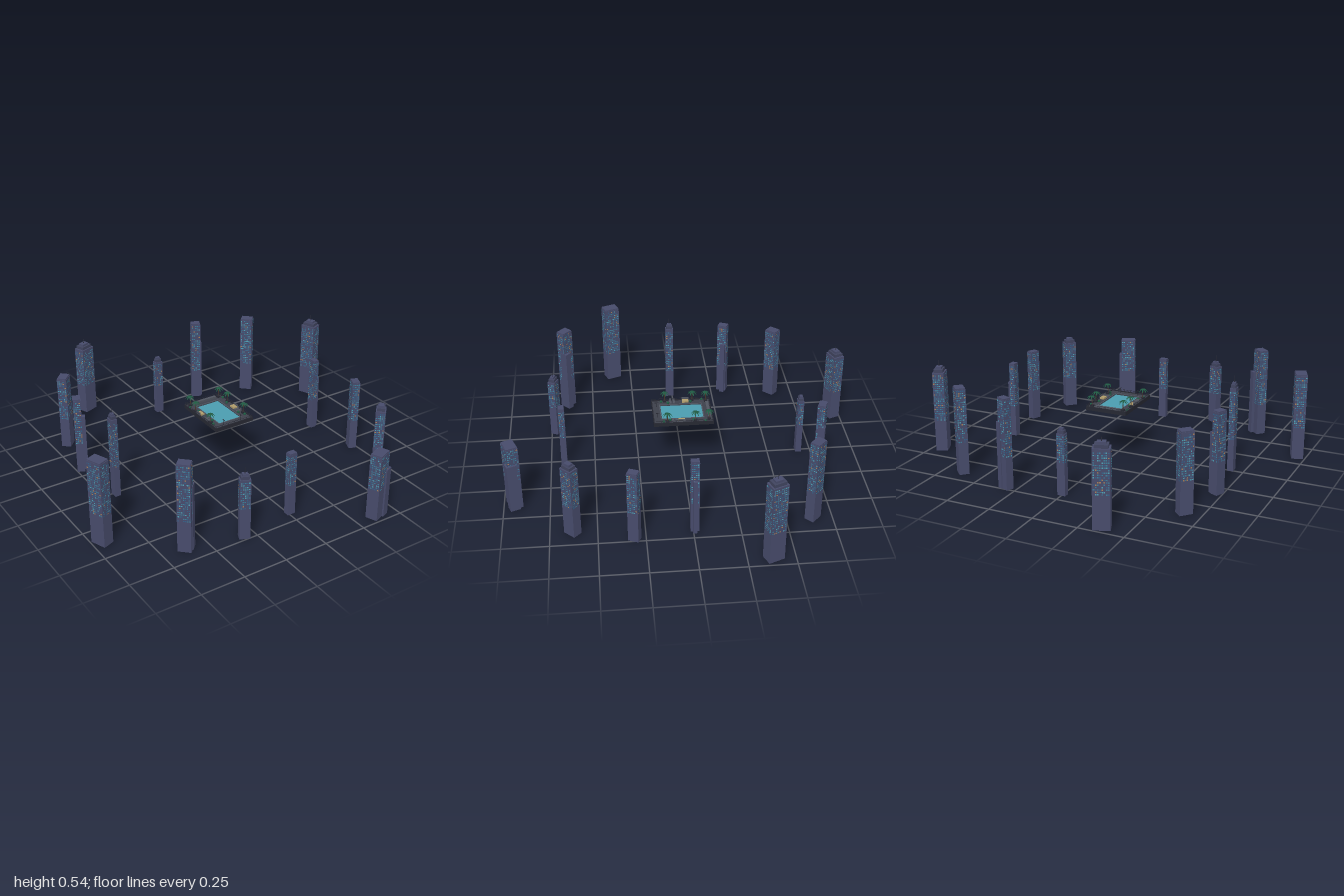
import * as THREE from 'three';
import { mergeGeometries } from 'three/addons/utils/BufferGeometryUtils.js';

const mat = (color, extra = {}) => new THREE.MeshStandardMaterial({ color, ...extra });
const M = {
  wall: mat(0x474b6b), roof: mat(0x40445f), metal: mat(0x2b2d3a),
  deck: mat(0x3d404b), trim: mat(0x262832), bar: mat(0x50545f), tan: mat(0xb09c6c),
  water: mat(0x4b9cb0, { side: THREE.DoubleSide }), tank: mat(0x4f9fb4, { side: THREE.DoubleSide }),
  trunk: mat(0x4a3a30), leaf: mat(0x1f5a42, { side: THREE.DoubleSide }),
};
const PANES = [0x3c7f9c, 0x34608a, 0x4fa3b8, 0xa8805a].map((c) => mat(c));

let seed = 7;
const rand = () => (seed = (seed * 16807) % 2147483647) / 2147483647;

function add(parent, name, geometry, material, x = 0, y = 0, z = 0) {
  const mesh = new THREE.Mesh(geometry, material);
  mesh.name = name;
  mesh.position.set(x, y, z);
  parent.add(mesh);
  return mesh;
}
// Box standing on y
const box = (parent, name, material, w, h, d, x, y, z) =>
  add(parent, name, new THREE.BoxGeometry(w, h, d), material, x, y + h / 2, z);

// Grid of small lit panes on all four walls, merged by colour
function addWindows(tower, w, d, h) {
  const lists = PANES.map(() => []);
  const start = 0.18, rows = Math.floor((h - start - 0.008) / 0.0125);
  for (let side = 0; side < 4; side++) {
    const width = side % 2 ? d : w, depth = side % 2 ? w : d;
    const cols = Math.max(4, Math.round(width / 0.011)), step = (width * 0.92) / cols;
    for (let r = 0; r < rows; r++) {
      for (let c = 0; c < cols; c++) {
        if (rand() < 0.25) continue;
        const p = rand();
        const g = new THREE.PlaneGeometry(step * 0.72, 0.007);
        g.translate((c - (cols - 1) / 2) * step, start + 0.008 + r * 0.0125, depth / 2 + 0.0008);
        g.rotateY((side * Math.PI) / 2);
        lists[p < 0.4 ? 0 : p < 0.72 ? 1 : p < 0.92 ? 2 : 3].push(g);
      }
    }
  }
  lists.forEach((l, i) => l.length && add(tower, 'windows', mergeGeometries(l), PANES[i]));
}

// Tower facing the centre; style 0 stepped crown, 1 side annex, 2 plain
function addTower(parent, [x, z, h, mast = 0], index) {
  const [w, d] = [[0.046, 0.034], [0.058, 0.044], [0.073, 0.055], [0.09, 0.066]][index % 4];
  const style = index % 3;
  const site = new THREE.Group();
  site.name = 'towerSite';
  site.position.set(x, 0, z);
  parent.add(site);
  const tower = new THREE.Group();
  tower.name = 'tower';
  tower.rotation.y = Math.atan2(x, z);
  site.add(tower);

  const cap = style === 0 ? 0 : 0.007;
  box(tower, 'towerBody', M.wall, w, h - cap, d, 0, 0, 0);
  addWindows(tower, w, d, h);
  if (style === 0) {
    box(tower, 'lowerCrown', M.roof, w * 0.78, 0.018, d * 0.78, 0, h, 0);
    box(tower, 'upperCrown', M.wall, w * 0.5, 0.012, d * 0.5, 0, h + 0.018, 0);
    if (mast) add(tower, 'mast', new THREE.CylinderGeometry(0.0012, 0.002, mast, 6), M.metal, 0, h + 0.03 + mast / 2, 0);
  } else {
    box(tower, 'roofCap', M.wall, w * 0.94, cap, d * 0.94, 0, h - cap, 0);
  }
  if (style === 1) {
    box(site, 'annex', M.wall, w * 0.5, h * 0.735, d * 0.85, w * 0.42, 0, 0).rotation.y = tower.rotation.y;
  }
}

// Palm: leaning trunk and drooping, tapered fronds
function addPalm(parent, x, z, lean) {
  const palm = new THREE.Group();
  palm.name = 'palm';
  palm.position.set(x, 0.304, z);
  parent.add(palm);
  box(palm, 'planter', M.trim, 0.018, 0.01, 0.018, 0, 0, 0);
  const path = new THREE.QuadraticBezierCurve3(
    new THREE.Vector3(), new THREE.Vector3(0, 0.03, 0), new THREE.Vector3(lean, 0.06, 0));
  add(palm, 'trunk', new THREE.TubeGeometry(path, 5, 0.0022, 6), M.trunk);
  const fronds = [];
  for (let i = 0; i < 8; i++) {
    const g = new THREE.PlaneGeometry(0.03, 0.009, 4, 2);
    g.rotateX(-Math.PI / 2).translate(0.015, 0, 0);
    const p = g.attributes.position;
    for (let k = 0; k < p.count; k++) {
      const t = p.getX(k) / 0.03, s = p.getZ(k) * (0.3 + 2.4 * t * (1 - t) + 0.1 * (1 - t));
      p.setXYZ(k, t * 0.027, 0.013 * t - 0.027 * t * t - Math.abs(s) * 0.5, s);
    }
    g.computeVertexNormals();
    fronds.push(g.rotateY((i * Math.PI) / 4 + x * 5).translate(lean, 0.061, 0));
  }
  add(palm, 'fronds', mergeGeometries(fronds), M.leaf);
}

function rectFrame(w, d, iw, id, h) {
  const rect = (C, a, b) => new C([[-a, -b], [a, -b], [a, b], [-a, b]].map(([u, v]) => new THREE.Vector2(u / 2, v / 2)));
  const shape = rect(THREE.Shape, w, d);
  shape.holes.push(rect(THREE.Path, iw, id));
  return new THREE.ExtrudeGeometry(shape, { depth: h, bevelEnabled: false }).rotateX(-Math.PI / 2);
}

function addPoolDeck(parent) {
  const deck = new THREE.Group();
  deck.name = 'poolDeck';
  parent.add(deck);
  add(deck, 'deckFloor', rectFrame(0.24, 0.33, 0.144, 0.236, 0.016), M.deck, 0, 0.288, -0.003);
  add(deck, 'deckRim', rectFrame(0.244, 0.334, 0.234, 0.324, 0.022), M.trim, 0, 0.287, -0.003);
  // Hollow tank hanging below the deck
  add(deck, 'poolTank', rectFrame(0.156, 0.248, 0.144, 0.236, 0.015), M.tank, 0, 0.275, 0);
  add(deck, 'poolCoping', rectFrame(0.152, 0.244, 0.142, 0.234, 0.003), M.bar, 0, 0.303, 0);
  add(deck, 'water', new THREE.PlaneGeometry(0.144, 0.236).rotateX(-Math.PI / 2), M.water, 0, 0.298, 0);

  // Railing along all edges
  const rail = [];
  const bar = (w, h, d, x, y, z) => rail.push(new THREE.BoxGeometry(w, h, d).translate(x, y, z));
  for (const s of [-1, 1]) {
    bar(0.24, 0.0015, 0.0015, 0, 0.318, s * 0.164 - 0.003);
    bar(0.0015, 0.0015, 0.328, s * 0.119, 0.318, -0.003);
    for (let i = 0; i < 9; i++) bar(0.0015, 0.015, 0.0015, s * 0.119, 0.311, -0.167 + i * 0.041);
    for (let i = 1; i < 6; i++) bar(0.0015, 0.015, 0.0015, -0.119 + i * 0.0397, 0.311, s * 0.164 - 0.003);
  }
  add(deck, 'railing', mergeGeometries(rail), M.trim);
  box(deck, 'barCounter', M.bar, 0.15, 0.012, 0.016, 0, 0.304, -0.15);

  for (const s of [-1, 1]) {
    addPalm(deck, s * 0.094, -0.146, s * 0.004);
    addPalm(deck, s * 0.11, -0.07, -s * 0.004);
    addPalm(deck, s * 0.108, 0.088, s * 0.004);
    // Daybed with a low back
    const z = s * 0.018 - 0.012;
    box(deck, 'daybed', M.tan, 0.026, 0.01, 0.036, s * 0.1, 0.304, z);
    box(deck, 'daybedBack', M.bar, 0.004, 0.02, 0.038, s * 0.114, 0.304, z);
    for (const lz of [0.035, 0.056]) {
      box(deck, 'lounger', M.bar, 0.03, 0.006, 0.012, s * 0.098, 0.304, lz);
      box(deck, 'loungerBack', M.bar, 0.003, 0.012, 0.012, s * 0.112, 0.308, lz);
    }
    // Leafy shrubs and slim lamps
    for (const [sx, sz] of [[0.112, -0.125], [0.088, 0.07], [0.105, 0.108], [0.095, -0.06]])
      add(deck, 'shrub', new THREE.IcosahedronGeometry(0.008, 1), M.leaf, s * sx, 0.308, sz);
    box(deck, 'lampPost', M.trim, 0.002, 0.028, 0.002, s * 0.055, 0.304, 0.138);
    box(deck, 'lampArm', M.trim, 0.003, 0.002, 0.022, s * 0.055, 0.331, 0.138);
  }
}

export function createModel() {
  const model = new THREE.Group();
  model.name = 'towersAroundPool';
  // x, z, height, mast; clockwise from the back
  const towers = [
    [0, -0.68, 0.34], [0.305, -0.732, 0.505], [0.635, -0.645, 0.49], [0.94, -0.385, 0.465, 0.036],
    [0.68, -0.008, 0.445], [0.73, 0.31, 0.43], [0.648, 0.63, 0.415], [0.375, 0.942, 0.39],
    [0.01, 0.675, 0.375], [-0.315, 0.723, 0.355, 0.035], [-0.622, 0.65, 0.515], [-0.945, 0.365, 0.495],
    [-0.677, 0.015, 0.475, 0.036], [-0.72, -0.322, 0.46], [-0.655, -0.622, 0.445], [-0.36, -0.95, 0.42, 0.025],
  ];
  towers.forEach((t, i) => addTower(model, t, i));
  addPoolDeck(model);
  return model;
}
